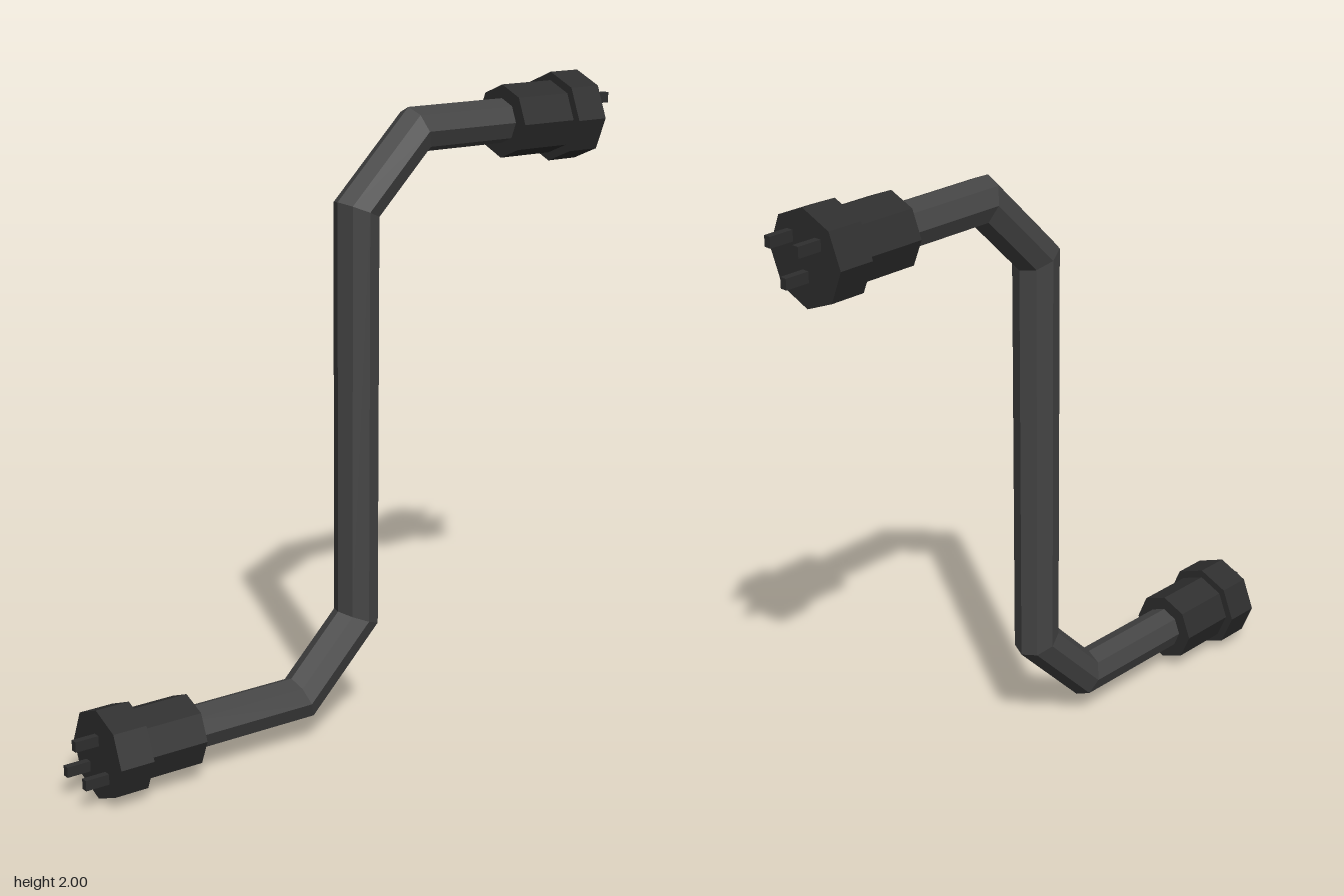
import * as THREE from 'three';

const cableMaterial = new THREE.MeshStandardMaterial({ color: 0x444444, flatShading: true });
const plugMaterial = new THREE.MeshStandardMaterial({ color: 0x2e2e2e, flatShading: true });

// Octagonal tube with mitred bends, made by moving the rows of a cylinder onto a path
function createCable(points, radius) {
  const last = points.length - 1;
  const geometry = new THREE.CylinderGeometry(radius, radius, 1, 8, last, true);
  const position = geometry.attributes.position;
  const direction = (i) => points[i + 1].clone().sub(points[i]).normalize();
  for (let v = 0; v < position.count; v++) {
    const i = Math.round((0.5 - position.getY(v)) * last);
    const before = direction(Math.max(i - 1, 0));
    const after = direction(Math.min(i, last - 1));
    const tangent = before.clone().add(after).normalize();
    const offset = position.getX(v) / tangent.dot(after);
    position.setXY(v, points[i].x - tangent.y * offset, points[i].y + tangent.x * offset);
  }
  geometry.computeVertexNormals();
  const cable = new THREE.Mesh(geometry, cableMaterial);
  cable.name = 'cable';
  return cable;
}

// Plug pointing along +x, centred on its own axis
function createPlug(name) {
  const plug = new THREE.Group();
  plug.name = name;
  const addSection = (part, radius, x0, x1) => {
    const mesh = new THREE.Mesh(new THREE.CylinderGeometry(radius, radius, x1 - x0, 8), plugMaterial);
    mesh.rotation.z = -Math.PI / 2;
    mesh.position.x = (x0 + x1) / 2;
    mesh.name = part;
    plug.add(mesh);
  };
  addSection('plugBody', 0.113, 0.59, 0.79);
  addSection('plugHead', 0.139, 0.787, 0.897);

  // Three contact prongs in a triangle
  for (const [y, z] of [[0.053, 0.055], [0.053, -0.055], [-0.047, 0]]) {
    const prong = new THREE.Mesh(new THREE.BoxGeometry(0.1, 0.032, 0.022), plugMaterial);
    prong.position.set(0.923, y, z);
    prong.name = 'prong';
    plug.add(prong);
  }
  return plug;
}

export function createModel() {
  const model = new THREE.Group();
  model.name = 'powerCable';

  const path = [
    [-0.62, 0.139], [-0.183, 0.139], [0.035, 0.36],
    [0.035, 1.643], [0.255, 1.863], [0.62, 1.863],
  ].map(([x, y]) => new THREE.Vector3(x, y, 0));
  model.add(createCable(path, 0.069));

  // The lower plug is the upper one turned half a turn
  const upperPlug = createPlug('upperPlug');
  upperPlug.position.y = 1.861;
  const lowerPlug = createPlug('lowerPlug');
  lowerPlug.position.y = 0.139;
  lowerPlug.rotation.z = Math.PI;
  model.add(upperPlug, lowerPlug);

  return model;
}
